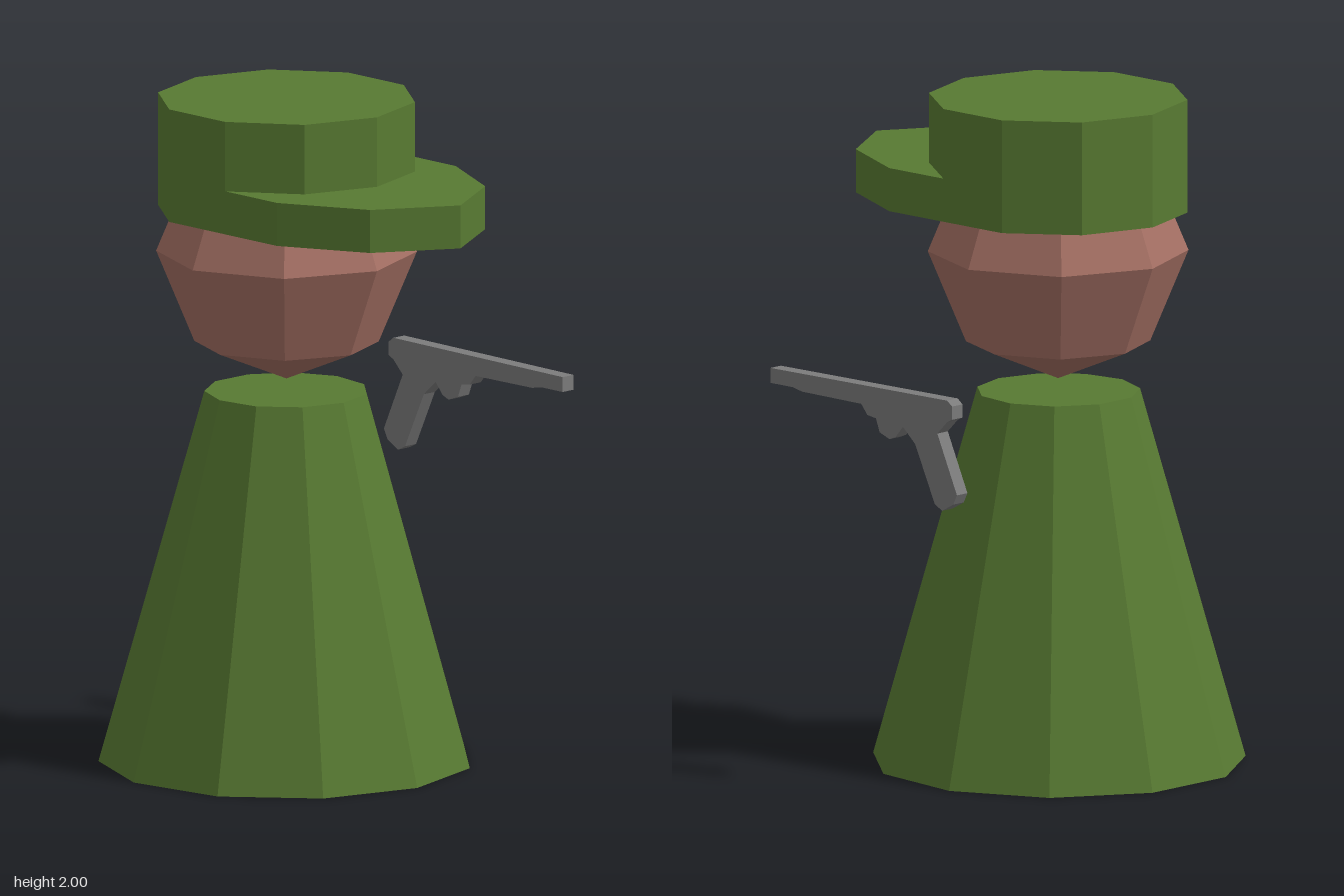
import * as THREE from 'three';

const CX = -0.105, CZ = 0.005; // shared axis of body, head and cap

const mat = (color) => new THREE.MeshStandardMaterial({ color, flatShading: true });

// Extrude a [x, y] outline by a depth along +z
function extrude(points, depth) {
  const shape = new THREE.Shape(points.map(([x, y]) => new THREE.Vector2(x, y)));
  return new THREE.ExtrudeGeometry(shape, { depth, bevelEnabled: false });
}

export function createModel() {
  const model = new THREE.Group();
  model.name = 'capFigure';
  const green = mat(0x587a32), skin = mat(0xa57064), metal = mat(0x7c7c7c);

  const add = (name, geometry, material, x, y, z) => {
    const mesh = new THREE.Mesh(geometry, material);
    mesh.name = name;
    mesh.position.set(x, y, z);
    model.add(mesh);
    return mesh;
  };

  // Eleven-sided tapered body with one corner on +x
  add('body', new THREE.CylinderGeometry(0.243, 0.556, 1.115, 11, 1, false, Math.PI / 2),
    green, CX, 1.115 / 2, CZ);

  // Low-poly head
  add('head', new THREE.SphereGeometry(0.385, 8, 4), skin, CX, 1.535, CZ);

  // Ten-sided cap crown
  const capR = 0.385;
  add('capCrown', new THREE.CylinderGeometry(capR, capR, 0.34, 10, 1, false, Math.PI / 2),
    green, CX, 1.83, CZ);

  // Cap brim: outer edge runs forward, inner edge follows the crown
  const brim = [[0.235, -0.366], [0.495, -0.236], [0.635, 0], [0.495, 0.236], [0.235, 0.366]];
  for (let i = 2; i >= -2; i--) {
    const a = i * Math.PI / 5;
    brim.push([CX + capR * Math.cos(a), capR * Math.sin(a)]);
  }
  const brimGeo = extrude(brim, 0.13).rotateX(-Math.PI / 2);
  add('capBrim', brimGeo, green, 0, 1.66, CZ);

  // Pistol side profile: barrel, guard and raked grip
  const pistol = [
    [0.53, 1.175], [-0.19, 1.18], [-0.21, 1.165], [-0.21, 1.125], [-0.19, 1.115],
    [-0.15, 1.075], [-0.23, 0.9], [-0.215, 0.87], [-0.17, 0.845], [-0.14, 0.86],
    [-0.06, 1.03], [-0.01, 1.075], [0.02, 1.04], [0.045, 1.03], [0.085, 1.045],
    [0.1, 1.085], [0.135, 1.09], [0.16, 1.12], [0.4, 1.122], [0.44, 1.13], [0.53, 1.13],
  ].reverse();
  add('pistol', extrude(pistol, 0.045), metal, 0, 0, -0.56);

  return model;
}
